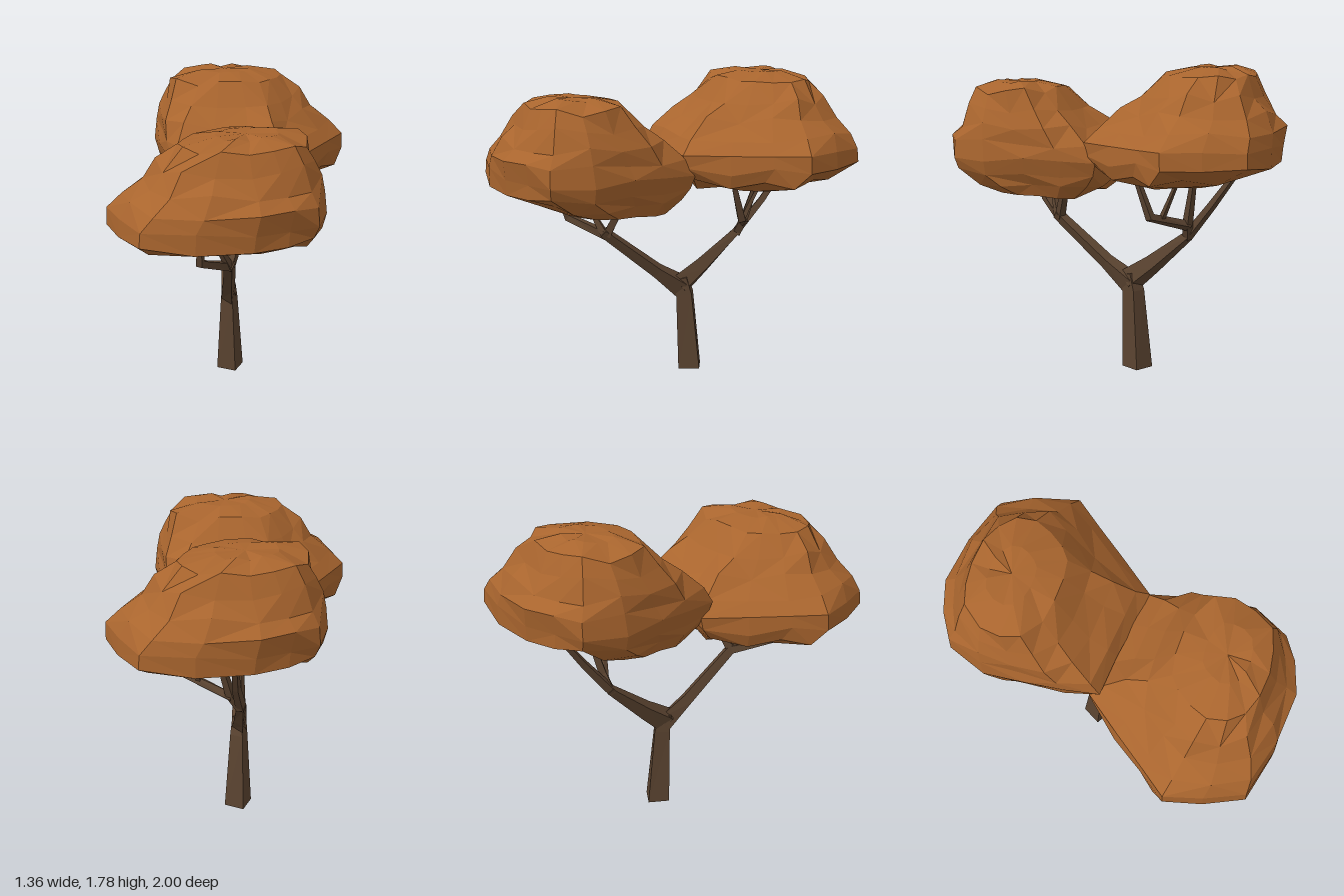
import * as THREE from 'three';

const leaves = new THREE.MeshStandardMaterial({ color: 0xa9652e });
leaves.name = 'autumn leaves';
const bark = new THREE.MeshStandardMaterial({ color: 0x5a4330 });
bark.name = 'bark';
leaves.flatShading = bark.flatShading = true;

const { lerp, mapLinear } = THREE.MathUtils;

function seeded(seed) {
  return () => {
    seed = (seed * 16807) % 2147483647;
    return seed / 2147483647;
  };
}

// Skins a stack of closed rings (counter-clockwise from the tip) and caps both ends
function skin(rings, flip = () => false) {
  const pos = [];
  const tri = (...p) => p.forEach(v => pos.push(v.x, v.y, v.z));
  const n = rings[0].length;
  const mid = ring => ring.reduce((s, p) => s.add(p), new THREE.Vector3()).divideScalar(n);
  const low = mid(rings[0]), high = mid(rings[rings.length - 1]);
  for (let i = 0; i < n; i++) {
    const j = (i + 1) % n;
    tri(low, rings[0][j], rings[0][i]);
    tri(high, rings[rings.length - 1][i], rings[rings.length - 1][j]);
    for (let r = 0; r + 1 < rings.length; r++) {
      const a = rings[r][i], b = rings[r][j], c = rings[r + 1][j], d = rings[r + 1][i];
      if (flip()) { tri(a, b, d); tri(b, c, d); } else { tri(a, b, c); tri(a, c, d); }
    }
  }
  const g = new THREE.BufferGeometry();
  g.setAttribute('position', new THREE.Float32BufferAttribute(pos, 3));
  g.computeVertexNormals();
  return g;
}

// Widest crown outline seen from above, as x, z
const rim = [
  [-0.31, 0], [-0.46, 0.2], [-0.58, 0.4], [-0.68, 0.57], [-0.61, 0.77], [-0.49, 0.97],
  [-0.2, 1], [0.1, 0.99], [0.28, 0.91], [0.42, 0.82], [0.48, 0.6], [0.43, 0.38],
  [0.4, 0.17], [0.33, 0], [0.1, 0], [-0.15, 0],
];
// Smaller outline of the dome on top
const dome = [
  [-0.16, 0.37], [-0.22, 0.43], [-0.27, 0.52], [-0.3, 0.62], [-0.27, 0.72], [-0.19, 0.79],
  [-0.08, 0.82], [0.06, 0.82], [0.18, 0.79], [0.29, 0.74], [0.36, 0.62], [0.37, 0.5],
  [0.33, 0.4], [0.2, 0.34], [0.08, 0.33], [-0.05, 0.34],
];
// Crown layers: height, x min, x max, z min, z max of the rim, blend into the dome
const layers = [
  [1.04, -0.38, 0.37, 0.12, 0.64, 0],
  [1.105, -0.63, 0.42, 0.04, 0.82, 0],
  [1.18, -0.67, 0.45, -0.01, 0.99, 0],
  [1.25, -0.68, 0.47, -0.03, 1.0, 0],
  [1.345, -0.64, 0.48, -0.02, 1.01, 0.12],
  [1.43, -0.62, 0.5, -0.02, 1.01, 0.42],
  [1.53, -0.68, 0.5, -0.02, 1.0, 0.71],
  [1.625, -0.68, 0.48, 0, 1, 1],
  [1.67, -0.68, 0.48, 0, 1, 1.3],
];

function crownGeometry() {
  const rand = seeded(90210);
  const rings = layers.map(([y, x0, x1, z0, z1, t], r) => rim.map(([x, z], i) => {
    const cx = (x0 + x1) / 2, cz = (z0 + z1) / 2;
    const k = 0.97 + rand() * 0.06;
    const px = cx + (mapLinear(x, -0.68, 0.48, x0, x1) - cx) * k;
    const pz = cz + (mapLinear(z, 0, 1, z0, z1) - cz) * k;
    const lift = (rand() - 0.5) * (r === 0 || r === layers.length - 1 ? 0.025 : 0.05);
    // Past the dome outline the last layer closes in on the peak
    const shrink = Math.max(0, t - 1) * 1.7;
    const dx = lerp(dome[i][0], 0.07, shrink), dz = lerp(dome[i][1], 0.6, shrink);
    const blend = Math.min(t, 1);
    return new THREE.Vector3(
      Math.max(-0.68, lerp(px, dx, blend)), y + lift, Math.min(1, lerp(pz, dz, blend)));
  }));
  return skin(rings, () => rand() < 0.5);
}

// Four-sided tapering limb through points [x, y, z, sideways radius, other radius]
function limbGeometry(points) {
  const p = points.map(q => new THREE.Vector3(q[0], q[1], q[2]));
  const rings = p.map((c, i) => {
    const [, , , ru, rv = ru] = points[i];
    const t = p[Math.min(i + 1, p.length - 1)].clone().sub(p[Math.max(i - 1, 0)]).normalize();
    const v = new THREE.Vector3(1, 0, 0).cross(t).normalize();
    const u = t.clone().cross(v).normalize();
    return Array.from({ length: 4 }, (_, k) => {
      const a = (k / 4) * Math.PI * 2 + 0.36;
      return c.clone().addScaledVector(u, -Math.cos(a) * ru).addScaledVector(v, Math.sin(a) * rv);
    });
  });
  // The foot of the trunk is flat on the ground
  if (points[0][1] === 0) rings[0].forEach(q => { q.y = 0; });
  return skin(rings);
}

const limbs = {
  trunk: [[-0.02, 0, -0.142, 0.085, 0.089], [-0.025, 0.46, -0.112, 0.054, 0.066], [-0.028, 0.56, -0.09, 0.044, 0.052]],
  frontBranch: [[-0.028, 0.49, -0.11, 0.048, 0.076], [-0.03, 0.615, 0.06, 0.04, 0.046], [-0.03, 0.88, 0.39, 0.034]],
  backBranch: [[-0.028, 0.51, -0.08, 0.048, 0.08], [-0.03, 0.625, -0.23, 0.04, 0.058], [-0.03, 0.82, -0.46, 0.03]],
  frontOuterTwig: [[-0.03, 0.86, 0.37, 0.032], [-0.19, 0.945, 0.55, 0.028], [-0.19, 1.14, 0.62, 0.015]],
  frontMiddleTwig: [[-0.03, 0.86, 0.38, 0.028], [-0.08, 0.97, 0.43, 0.019], [-0.18, 1.14, 0.52, 0.013]],
  frontInnerTwig: [[-0.03, 0.86, 0.37, 0.032], [0.08, 1.15, 0.26, 0.02]],
  backOuterTwig: [[-0.03, 0.8, -0.44, 0.032], [0.0, 1.0, -0.6, 0.026], [0.01, 1.26, -0.79, 0.016]],
  backStem: [[-0.03, 0.8, -0.45, 0.03], [0.03, 0.9, -0.47, 0.03], [0.11, 1.22, -0.54, 0.016]],
  backInnerTwig: [[0.02, 0.88, -0.47, 0.03], [0.27, 0.96, -0.34, 0.029], [0.31, 1.22, -0.26, 0.017]],
  backSideTwig: [[0.2, 0.94, -0.38, 0.019], [0.21, 1.05, -0.43, 0.015], [0.23, 1.2, -0.5, 0.011]],
};

export function createModel() {
  const tree = new THREE.Group();
  tree.name = 'tree';

  // Trunk, branches and twigs
  for (const [name, points] of Object.entries(limbs)) {
    const limb = new THREE.Mesh(limbGeometry(points), bark);
    limb.name = name;
    tree.add(limb);
  }

  // Two matching crowns, the back one turned round and higher
  const shape = crownGeometry();
  const frontCrown = new THREE.Mesh(shape, leaves);
  frontCrown.name = 'frontCrown';
  const backCrown = new THREE.Mesh(shape, leaves);
  backCrown.name = 'backCrown';
  backCrown.rotation.y = Math.PI;
  backCrown.position.y = 0.1;
  tree.add(frontCrown, backCrown);
  return tree;
}
